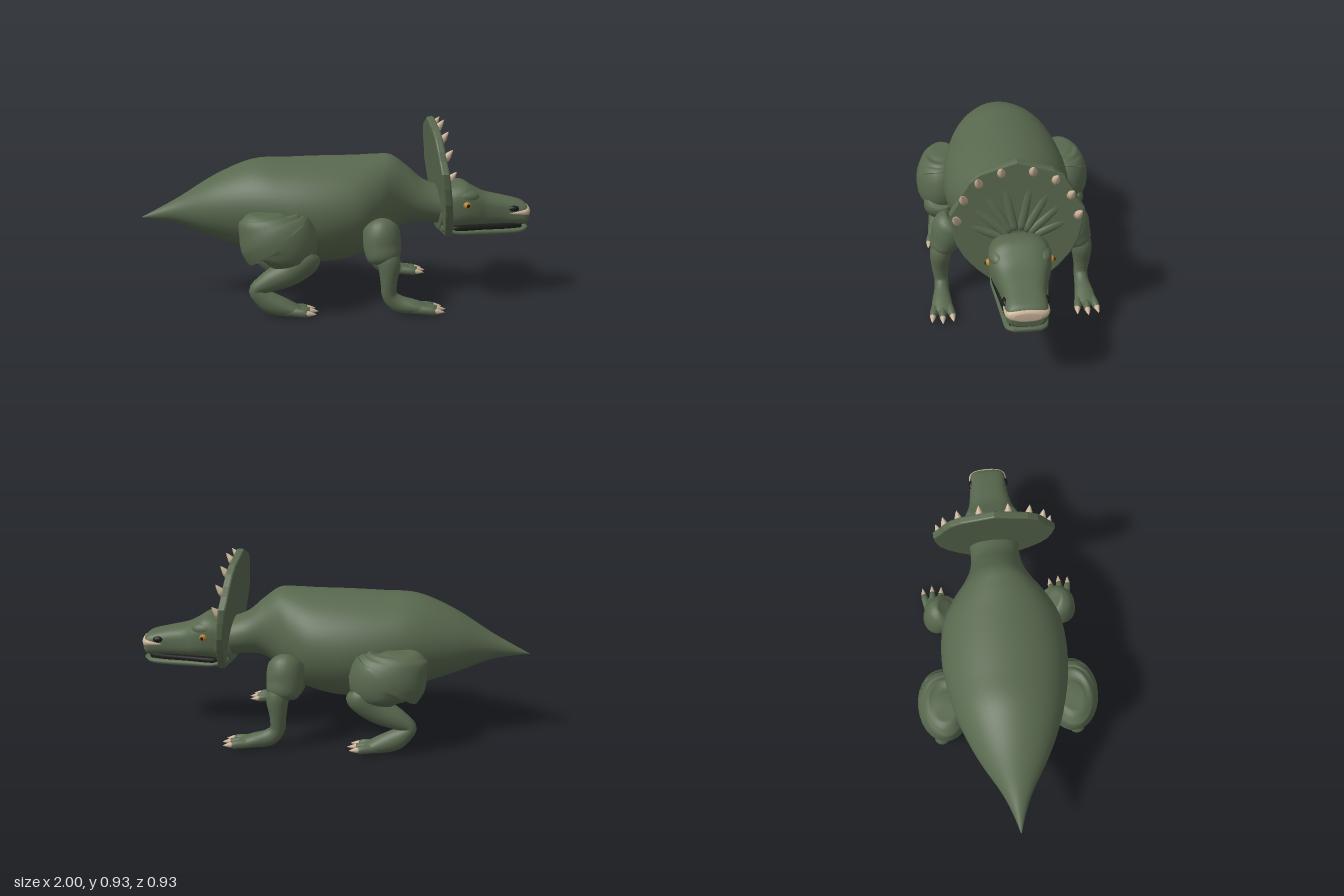
import * as THREE from 'three';

const mat = (name, color) => {
  const m = new THREE.MeshStandardMaterial({ color });
  m.name = name;
  return m;
};

// Smooth skin through stations [x, y, z, radiusN, radiusZ]; upright keeps sections vertical
function loft(stations, { upright = false, power = 1, sides = 28, steps = 5 } = {}) {
  const centre = new THREE.CatmullRomCurve3(stations.map(s => new THREE.Vector3(s[0], s[1], s[2])), false, 'catmullrom', 0.5);
  const radii = new THREE.CatmullRomCurve3(stations.map(s => new THREE.Vector3(s[3], s[4], 0)), false, 'catmullrom', 0.5);
  const rings = (stations.length - 1) * steps, pos = [], idx = [];
  const zAxis = new THREE.Vector3(0, 0, 1);
  const bend = v => Math.sign(v) * Math.pow(Math.abs(v), power);
  for (let i = 0; i <= rings; i++) {
    const c = centre.getPoint(i / rings), r = radii.getPoint(i / rings);
    const t = upright ? new THREE.Vector3(1, 0, 0) : centre.getTangent(i / rings);
    const n = zAxis.clone().cross(t).normalize(), b = t.clone().cross(n);
    for (let j = 0; j < sides; j++) {
      const a = j / sides * Math.PI * 2;
      const p = c.clone().addScaledVector(n, bend(Math.cos(a)) * Math.max(r.x, 0.001))
        .addScaledVector(b, bend(Math.sin(a)) * Math.max(r.y, 0.001));
      pos.push(p.x, p.y, p.z);
    }
  }
  for (let i = 0; i < rings; i++) for (let j = 0; j < sides; j++) {
    const k = (j + 1) % sides, a = i * sides + j, b = i * sides + k;
    idx.push(a, b, b + sides, a, b + sides, a + sides);
  }
  // end caps
  const first = pos.length / 3, last = first + 1;
  pos.push(...centre.getPoint(0).toArray(), ...centre.getPoint(1).toArray());
  for (let j = 0; j < sides; j++) {
    const k = (j + 1) % sides;
    idx.push(first, k, j, last, rings * sides + j, rings * sides + k);
  }
  const g = new THREE.BufferGeometry();
  g.setAttribute('position', new THREE.Float32BufferAttribute(pos, 3));
  g.setIndex(idx);
  g.computeVertexNormals();
  return g;
}

// Upright stations from [x, top, bottom, halfWidth]
const profile = rows => rows.map(([x, top, bot, w]) => [x, (top + bot) / 2, 0, (top - bot) / 2, w]);

export function createModel() {
  const model = new THREE.Group();
  const skin = mat('skinGreen', 0x58684e), horn = mat('hornTan', 0xc8b197);
  const amber = mat('eyeAmber', 0xb9802a), dark = mat('darkMouth', 0x1b1b1a);

  const add = (name, geo, material, parent = model) => {
    const m = new THREE.Mesh(geo, material);
    m.name = name;
    parent.add(m);
    return m;
  };
  const ball = (name, material, [x, y, z], [rx, ry, rz]) => {
    const m = add(name, new THREE.SphereGeometry(1, 28, 18), material);
    m.position.set(x, y, z);
    m.scale.set(rx, ry, rz);
  };
  const spike = (name, [x, y, z], dir, radius, length, parent = model) => {
    const g = new THREE.LatheGeometry([[0, 0], [1, 0], [0.85, 0.35], [0.4, 0.75], [0, 1]]
      .map(([r, h]) => new THREE.Vector2(r * radius, h * length)), 12);
    const m = add(name, g, horn, parent);
    m.position.set(x, y, z);
    m.quaternion.setFromUnitVectors(new THREE.Vector3(0, 1, 0), new THREE.Vector3(...dir).normalize());
  };

  // Tail, trunk and neck
  add('body', loft(profile([
    [-1, 0.432, 0.428, 0.002], [-0.9, 0.485, 0.415, 0.035], [-0.8, 0.54, 0.395, 0.08],
    [-0.62, 0.65, 0.325, 0.185], [-0.43, 0.727, 0.262, 0.265], [-0.25, 0.735, 0.222, 0.31],
    [-0.07, 0.74, 0.197, 0.325], [0.09, 0.742, 0.225, 0.305], [0.2, 0.748, 0.275, 0.245],
    [0.28, 0.745, 0.335, 0.18], [0.36, 0.69, 0.385, 0.142], [0.45, 0.615, 0.395, 0.13],
    [0.56, 0.575, 0.38, 0.13]]), { upright: true, sides: 48 }), skin);

  // Skull, jaw and the thin dark mouth line between them
  add('skull', loft(profile([
    [0.52, 0.57, 0.36, 0.125], [0.58, 0.6, 0.362, 0.142], [0.65, 0.61, 0.374, 0.147],
    [0.71, 0.577, 0.377, 0.137], [0.77, 0.547, 0.377, 0.117], [0.86, 0.527, 0.377, 0.1],
    [0.94, 0.508, 0.377, 0.098], [0.975, 0.495, 0.379, 0.092], [0.993, 0.475, 0.395, 0.07]]),
  { upright: true, power: 0.7, sides: 40 }), skin);
  add('lowerJaw', loft(profile([
    [0.53, 0.41, 0.35, 0.12], [0.61, 0.377, 0.336, 0.138], [0.74, 0.377, 0.332, 0.124],
    [0.87, 0.374, 0.333, 0.108], [0.95, 0.375, 0.34, 0.096], [0.988, 0.378, 0.358, 0.065]]),
  { upright: true, power: 0.72, sides: 40 }), skin);
  add('mouth', loft(profile([
    [0.58, 0.393, 0.36, 0.118], [0.62, 0.394, 0.36, 0.133], [0.75, 0.395, 0.362, 0.114],
    [0.88, 0.395, 0.362, 0.094], [0.955, 0.395, 0.365, 0.078]]), { upright: true, power: 0.4 }), dark);
  add('nosePatch', loft(profile([
    [0.878, 0.452, 0.442, 0.098], [0.93, 0.474, 0.426, 0.103], [0.97, 0.484, 0.418, 0.1],
    [0.99, 0.482, 0.42, 0.085], [1, 0.472, 0.43, 0.06]]), { upright: true, power: 0.9 }), horn);

  // Neck frill, leaning back
  const half = [[0, 0.932], [0.09, 0.904], [0.165, 0.882], [0.215, 0.845], [0.25, 0.79], [0.27, 0.745],
    [0.307, 0.688], [0.3, 0.62], [0.28, 0.535], [0.245, 0.47], [0.19, 0.405], [0.12, 0.345], [0, 0.338]];
  const outline = [...half, ...half.slice(1, -1).reverse().map(([z, y]) => [-z, y])];
  const frill = new THREE.ExtrudeGeometry(new THREE.Shape(outline.map(p => new THREE.Vector2(...p))),
    { depth: 0.022, bevelSize: 0.008, bevelThickness: 0.009, bevelSegments: 2 });
  frill.translate(0, 0, -0.011).rotateY(Math.PI / 2);
  const lean = y => 0.568 - 0.145 * (y - 0.33);
  const fp = frill.attributes.position;
  for (let i = 0; i < fp.count; i++) fp.setX(i, fp.getX(i) + lean(fp.getY(i)));
  frill.computeVertexNormals();
  add('frill', frill, skin);

  for (const s of [1, -1]) {
    const side = s > 0 ? 'left' : 'right';

    // Frill spikes, each on a low fold running out from the head
    for (const [z, y, out] of [[0.072, 0.882, 0.02], [0.175, 0.836, 0.15], [0.246, 0.757, 0.2], [0.28, 0.655, 0.3]]) {
      spike(side + 'FrillSpike', [lean(y) + 0.014, y, s * z], [0.6, 0.8, s * out], 0.021, 0.062);
      const fold = [[0.2, 0.02], [0.5, 0.016], [0.85, 0.006]].map(([f, a]) => {
        const fy = 0.53 + (y - 0.53) * f;
        return [lean(fy) + 0.012, fy, s * z * f, a, 0.022];
      });
      add(side + 'FrillFold', loft(fold, { sides: 16 }), skin);
    }

    // Face details
    ball(side + 'Brow', skin, [0.655, 0.538, s * 0.102], [0.07, 0.038, 0.043]);
    ball(side + 'Eye', amber, [0.655, 0.502, s * 0.141], [0.02, 0.019, 0.021]);
    ball(side + 'Pupil', dark, [0.658, 0.502, s * 0.158], [0.009, 0.01, 0.006]);
    ball(side + 'Nostril', dark, [0.908, 0.472, s * 0.092], [0.027, 0.016, 0.015]);

    // Legs
    const leg = (name, parts, toeX, tipX, footZ) => {
      const g = new THREE.Group();
      g.name = side + name;
      model.add(g);
      for (const [part, rows] of Object.entries(parts))
        add(part, loft(rows.map(([x, y, z, a, b]) => [x, y, s * z, a, b])), skin, g);
      for (const k of [-1, 0, 1]) {
        const z = footZ + k * 0.048, tip = tipX + (k === 0 ? 0.012 : 0);
        add('toe', loft([[toeX, 0.038, s * (footZ + k * 0.025), 0.022, 0.02],
          [(toeX + tipX) / 2, 0.034, s * (footZ + k * 0.042), 0.022, 0.02],
          [tip - 0.045, 0.03, s * z, 0.018, 0.016], [tip - 0.034, 0.029, s * z, 0.006, 0.006]],
        { sides: 14, steps: 3 }), skin, g);
        spike('claw', [tip - 0.055, 0.033, s * z], [1, -0.08, s * k * 0.1], 0.016, 0.058, g);
      }
    };

    leg('FrontLeg', {
      upperArm: [[0.205, 0.438, 0.275, 0.04, 0.05], [0.205, 0.425, 0.285, 0.083, 0.09], [0.205, 0.38, 0.307, 0.093, 0.096],
        [0.208, 0.325, 0.332, 0.09, 0.08], [0.218, 0.28, 0.355, 0.075, 0.062], [0.222, 0.262, 0.362, 0.03, 0.03]],
      forearm: [[0.225, 0.31, 0.35, 0.05, 0.05], [0.238, 0.26, 0.36, 0.056, 0.054], [0.236, 0.17, 0.365, 0.041, 0.043],
        [0.242, 0.1, 0.362, 0.038, 0.036], [0.285, 0.06, 0.363, 0.042, 0.038], [0.36, 0.044, 0.365, 0.035, 0.05],
        [0.425, 0.034, 0.365, 0.02, 0.052], [0.44, 0.033, 0.365, 0.008, 0.03]],
    }, 0.35, 0.505, 0.365);

    leg('HindLeg', {
      thigh: [[-0.345, 0.508, 0.325, 0.06, 0.05], [-0.345, 0.492, 0.325, 0.138, 0.09], [-0.338, 0.45, 0.327, 0.16, 0.117],
        [-0.315, 0.395, 0.33, 0.183, 0.134], [-0.285, 0.345, 0.33, 0.178, 0.136], [-0.295, 0.285, 0.332, 0.122, 0.118],
        [-0.305, 0.245, 0.335, 0.05, 0.06]],
      shin: [[-0.145, 0.325, 0.345, 0.05, 0.06], [-0.172, 0.29, 0.348, 0.078, 0.085], [-0.25, 0.227, 0.352, 0.07, 0.074],
        [-0.345, 0.182, 0.36, 0.054, 0.055], [-0.412, 0.143, 0.362, 0.034, 0.04], [-0.39, 0.108, 0.364, 0.042, 0.042],
        [-0.34, 0.074, 0.366, 0.052, 0.046], [-0.27, 0.05, 0.368, 0.043, 0.05], [-0.2, 0.034, 0.368, 0.02, 0.052],
        [-0.187, 0.033, 0.368, 0.008, 0.03]],
    }, -0.27, -0.122, 0.368);
  }
  return model;
}
